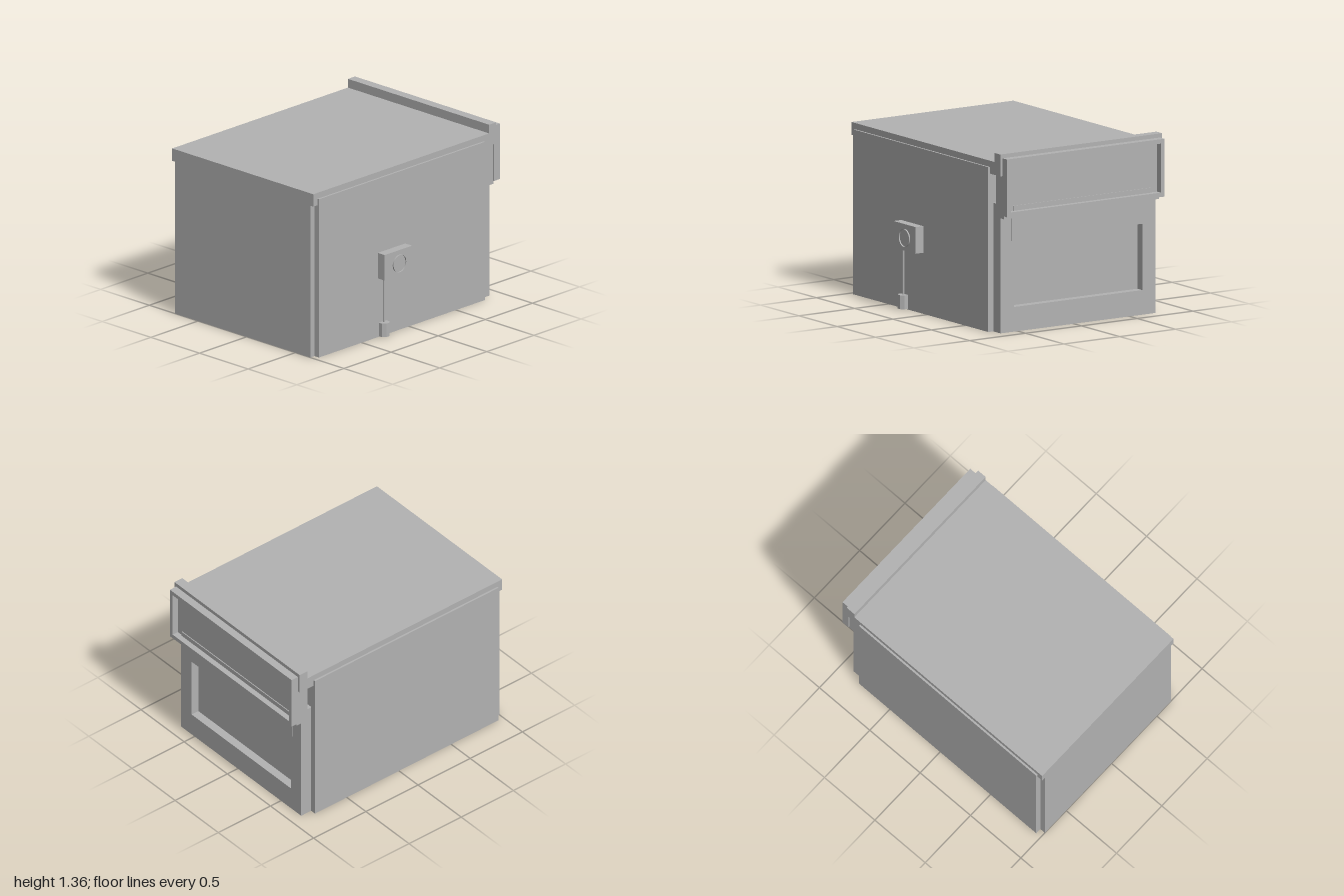
import * as THREE from 'three';

export function createModel() {
  const model = new THREE.Group();
  const grey = new THREE.MeshStandardMaterial({ color: 0xb2b2b2, side: THREE.DoubleSide });
  grey.name = 'grey';

  const add = (name, geometry) => {
    const mesh = new THREE.Mesh(geometry, grey);
    mesh.name = name;
    model.add(mesh);
    return mesh;
  };
  // Box given by its limits on each axis
  const box = (name, x0, x1, y0, y1, z0, z1) =>
    add(name, new THREE.BoxGeometry(x1 - x0, y1 - y0, z1 - z0))
      .position.set((x0 + x1) / 2, (y0 + y1) / 2, (z0 + z1) / 2);

  // Cabinet limits: body, lid and sign widths
  const L = -0.735, R = 0.655, lidL = -0.765, lidR = 0.685;

  // Body and side panels
  box('body', L, R, 0, 1.24, -0.8, 0.955);
  box('frontPanel', L, R, 0, 1.19, 0.955, 1);
  box('rightSidePanel', -0.78, L, 0, 1.24, -0.805, 0.955);
  box('leftSidePanel', R, 0.7, 0, 1.24, -0.805, 0.955);

  // Lid with hanging lips and a raised rear ridge
  box('lid', lidL, lidR, 1.24, 1.287, -0.94, 1);
  box('lidFrontLip', lidL, lidR, 1.19, 1.24, 0.955, 1);
  box('lidRearLip', lidL, lidR, 1.19, 1.24, -0.94, -0.805);
  box('lidRidge', lidL, lidR, 1.287, 1.355, -0.94, -0.865);

  // Rear frame around a recessed panel
  box('rearPanel', L, R, 0, 0.925, -0.835, -0.8);
  for (const [x0, x1] of [[L, L + 0.12], [R - 0.12, R]])
    box('rearPost', x0, x1, 0, 0.925, -0.9, -0.835);
  box('rearBottomRail', L + 0.12, R - 0.12, 0, 0.185, -0.9, -0.835);
  box('rearTopRail', L + 0.1, R - 0.1, 0.685, 0.9, -0.905, -0.835);
  box('rearLedge', L, R, 0.925, 0.967, -0.88, -0.8);
  box('signSupport', L, R, 0.967, 1.19, -0.88, -0.842);
  box('signBacking', L, R, 0.89, 1.19, -0.94, -0.88);
  box('signShelf', L, R, 0.865, 0.89, -0.945, -0.895);

  // Framed sign box on the rear
  const sign = new THREE.Shape([[-0.745, 0.89], [0.665, 0.89], [0.665, 1.325], [-0.745, 1.325]]
    .map(([x, y]) => new THREE.Vector2(x, y)));
  sign.holes.push(new THREE.Path([[-0.712, 0.923], [-0.712, 1.292], [0.632, 1.292], [0.632, 0.923]]
    .map(([x, y]) => new THREE.Vector2(x, y))));
  add('signFrame', new THREE.ExtrudeGeometry(sign, { depth: 0.06, bevelEnabled: false }))
    .position.z = -1;
  box('signPanel', -0.712, 0.632, 0.923, 1.292, -0.95, -0.94);
  box('signStrip', -0.66, 0.58, 0.923, 0.96, -0.957, -0.95);

  // Control box with an open ring, cable and weight on the left side
  box('controlBox', 0.7, 0.77, 0.46, 0.66, 0.04, 0.33);
  const ring = add('controlRing', new THREE.CylinderGeometry(0.067, 0.067, 0.01, 32, 1, true));
  ring.rotation.z = Math.PI / 2;
  ring.position.set(0.775, 0.557, 0.178);
  add('cable', new THREE.CylinderGeometry(0.007, 0.007, 0.37, 8)).position.set(0.715, 0.285, 0.28);
  const weight = new THREE.CylinderGeometry(0.043, 0.043, 0.105, 8).rotateY(Math.PI / 8).toNonIndexed();
  weight.computeVertexNormals();
  add('cableWeight', weight).position.set(0.715, 0.0575, 0.28);

  return model;
}
